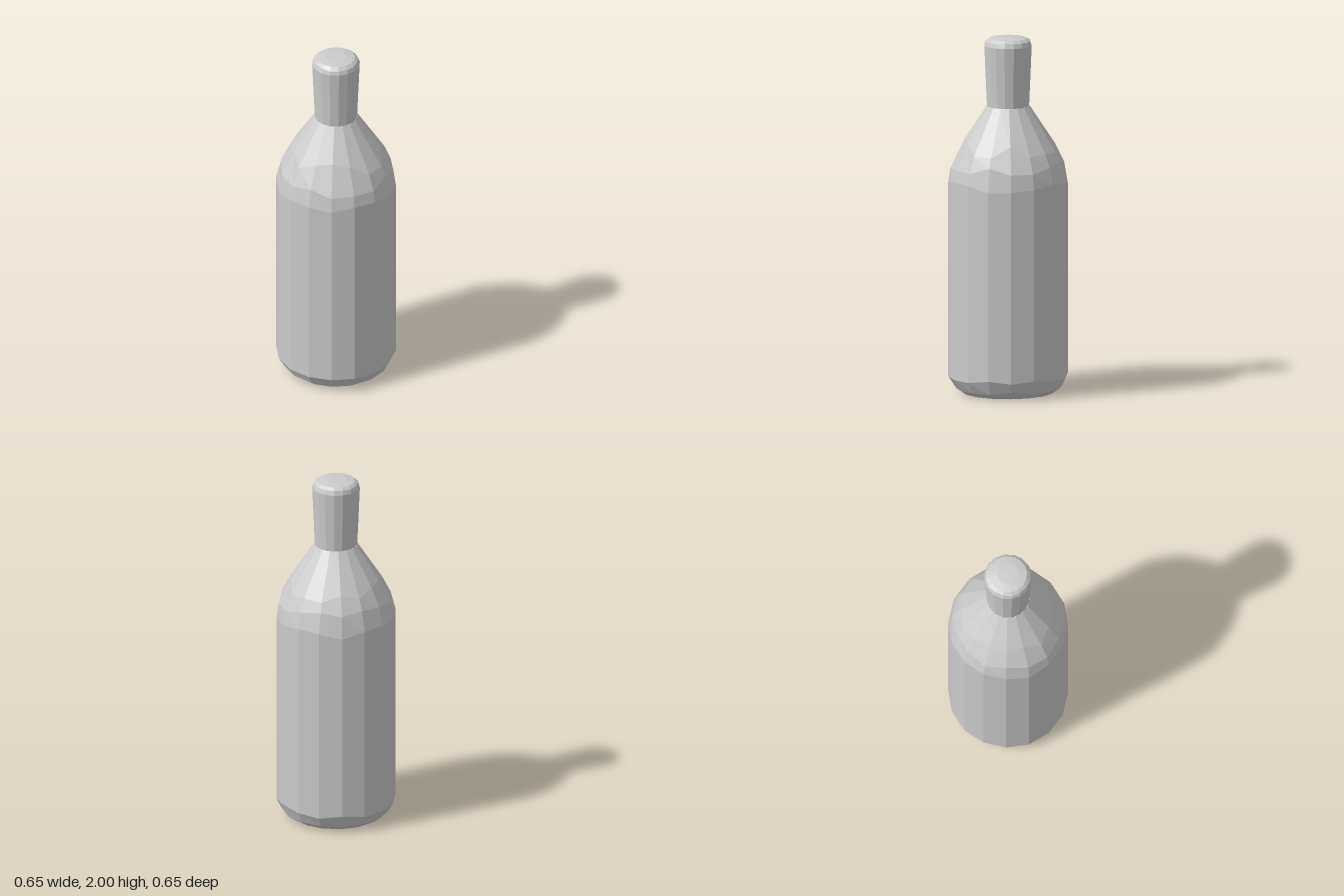
import * as THREE from 'three';

const SIDES = 16;
const material = new THREE.MeshStandardMaterial({ color: 0xcccccc, flatShading: true, side: THREE.DoubleSide });

// Small repeatable noise in -1..1
function noise(i, j) {
  const s = Math.sin(i * 12.9898 + j * 78.233) * 43758.5453;
  return 2 * (s - Math.floor(s)) - 1;
}

// Faceted turned part. Profile rows are [radius, height, slide]; slide moves
// each corner unevenly along the profile for an irregular chiselled edge.
function turned(name, profile, phiStart) {
  const points = profile.map(([r, y]) => new THREE.Vector2(r, y));
  const lathe = new THREE.LatheGeometry(points, SIDES, phiStart);
  const pos = lathe.attributes.position;
  const p = new THREE.Vector2();
  for (let i = 0; i <= SIDES; i++) {
    const phi = phiStart + (i / SIDES) * Math.PI * 2;
    profile.forEach(([, , slide = 0], j) => {
      if (!slide) return;
      const t = noise(i % SIDES, j) * slide;
      p.copy(points[j]).lerp(points[t > 0 ? j + 1 : j - 1], Math.abs(t));
      pos.setXYZ(i * points.length + j, p.x * Math.sin(phi), p.y, p.x * Math.cos(phi));
    });
  }
  const geometry = lathe.toNonIndexed();
  geometry.computeVertexNormals();
  const mesh = new THREE.Mesh(geometry, material);
  mesh.name = name;
  return mesh;
}

export function createModel() {
  const group = new THREE.Group();
  group.name = 'bottle';

  // Body with bevelled base and rounded shoulder; flats face the axes
  group.add(turned('body', [
    [0, 0], [0.255, 0], [0.3, 0.03, 0.3], [0.333, 0.09, 0.02],
    [0.333, 1.2, 0.03], [0.316, 1.285, 0.3], [0.272, 1.38, 0.25],
    [0.12, 1.61], [0, 1.61],
  ], Math.PI / SIDES));

  // Slightly flared neck with a bevelled, gently domed top
  group.add(turned('neck', [
    [0.118, 1.605], [0.133, 1.95], [0.125, 1.975, 0.2],
    [0.106, 1.99], [0.06, 1.998], [0, 2],
  ], 0));

  return group;
}
